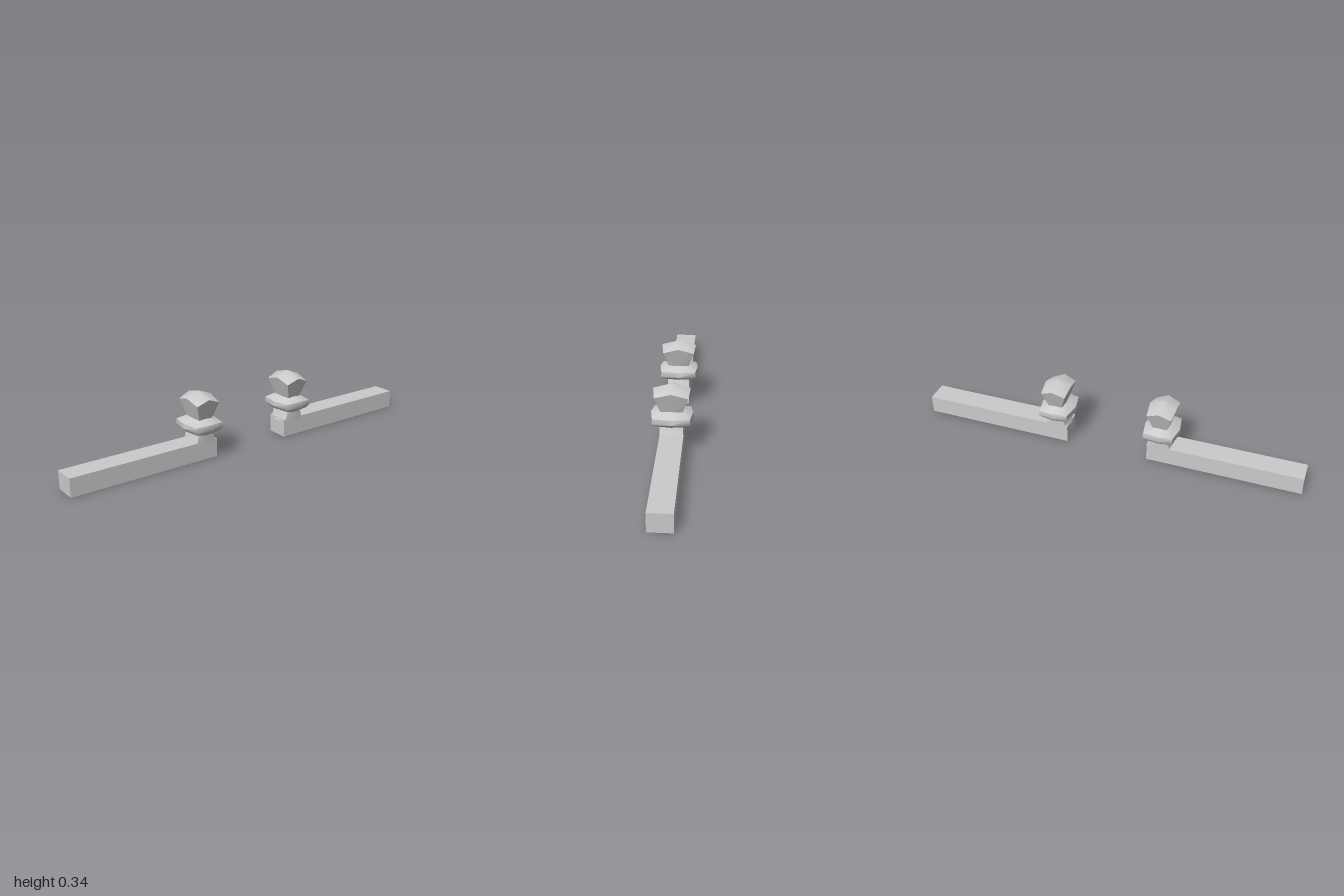
import * as THREE from 'three';
import { toCreasedNormals } from 'three/addons/utils/BufferGeometryUtils.js';

// Knob rings: [corner x, corner z, corner y, side x, side y, end z, end y]
const RINGS = [
  [0.056, 0.060, 0.080, 0.060, 0.080, 0.067, 0.080],
  [0.056, 0.050, 0.100, 0.061, 0.098, 0.058, 0.100],
  [0.056, 0.041, 0.132, 0.062, 0.127, 0.047, 0.134],
  [0.080, 0.064, 0.144, 0.088, 0.141, 0.075, 0.143],
  [0.092, 0.076, 0.161, 0.104, 0.163, 0.092, 0.161],
  [0.089, 0.074, 0.186, 0.100, 0.190, 0.089, 0.186],
  [0.054, 0.035, 0.206, 0.056, 0.210, 0.041, 0.208],
  [0.080, 0.063, 0.288, 0.089, 0.314, 0.069, 0.311],
];

// Eight-sided knob lofted through the rings, closed by a shallow pyramid cap
function knobGeometry() {
  const pos = [], idx = [];
  for (const [cx, cz, cy, sx, sy, ez, ey] of RINGS) {
    pos.push(0, ey, ez, cx, cy, cz, sx, sy, 0, cx, cy, -cz,
      0, ey, -ez, -cx, cy, -cz, -sx, sy, 0, -cx, cy, cz);
  }
  for (let r = 0; r < RINGS.length - 1; r++) {
    for (let i = 0; i < 8; i++) {
      const a = r * 8 + i, b = r * 8 + (i + 1) % 8;
      idx.push(a, b, b + 8, a, b + 8, a + 8);
    }
  }
  const top = (RINGS.length - 1) * 8, peak = RINGS.length * 8;
  pos.push(0, 0.339, 0, 0, 0.08, 0);
  for (let i = 0; i < 8; i++) {
    const j = (i + 1) % 8;
    idx.push(top + i, top + j, peak, j, i, peak + 1);
  }
  const geo = new THREE.BufferGeometry();
  geo.setAttribute('position', new THREE.Float32BufferAttribute(pos, 3));
  geo.setIndex(idx);
  return toCreasedNormals(geo, 0.85);
}

export function createModel() {
  const group = new THREE.Group();
  const material = new THREE.MeshStandardMaterial({ color: 0xcccccc });
  const knobGeo = knobGeometry();
  const barGeo = new THREE.BoxGeometry(0.114, 0.093, 0.786);

  // Two mirrored arms, each a long bar with a knob at its inner end
  for (const side of [1, -1]) {
    const arm = new THREE.Group();
    arm.name = side > 0 ? 'frontArm' : 'backArm';

    const bar = new THREE.Mesh(barGeo, material);
    bar.name = 'bar';
    bar.position.set(-0.001, 0.0465, side * 0.607);

    const knob = new THREE.Mesh(knobGeo, material);
    knob.name = 'knob';
    knob.position.z = side * 0.277;

    arm.add(bar, knob);
    group.add(arm);
  }
  return group;
}
